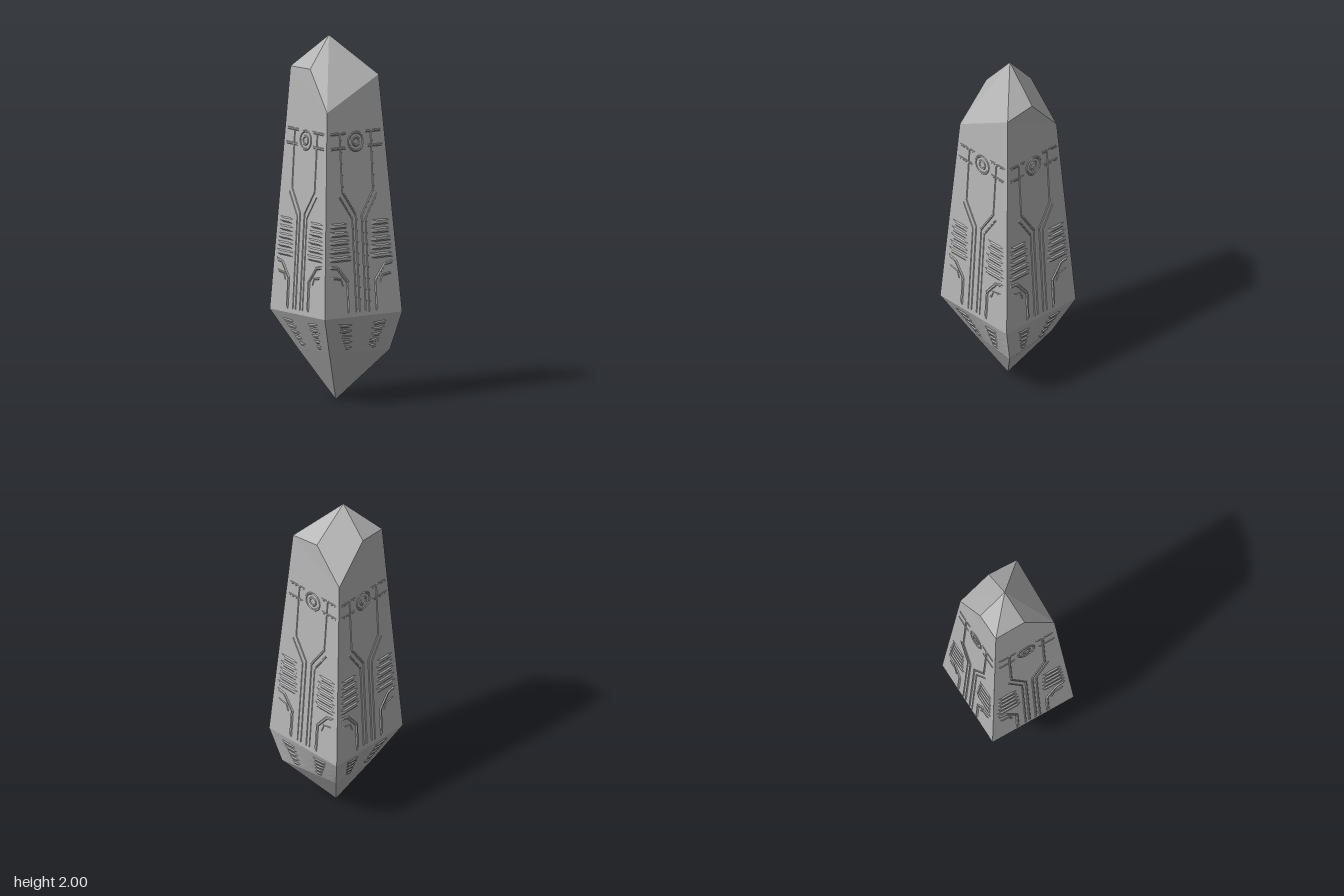
import * as THREE from 'three';

const V = (x, y, z) => new THREE.Vector3(x, y, z);

// Corners in order front-left, front-right, back-right, back-left as seen in plan
const girdle = [V(-0.263, 0.49, 0.25), V(0.25, 0.49, 0.27), V(0.26, 0.49, -0.255), V(-0.25, 0.49, -0.272)];
const shoulder = [V(-0.187, 1.825, 0.166), V(0.174, 1.61, 0.195), V(0.165, 1.79, -0.166), V(-0.19, 1.62, -0.185)];
const keel = [V(-0.155, 0.28, 0.146), V(0.145, 0.28, 0.157), V(0.2, 0.28, -0.217), V(-0.16, 0.28, -0.178)];
// Extra corner in the top edge of a side
const notch = [V(-0.005, 1.828, 0.172), null, V(-0.015, 1.815, -0.172), V(-0.187, 1.83, 0.01)];
const tip = V(-0.035, 2, 0.02);
const foot = V(0, 0, 0);

function meshFrom(triangles, material, name) {
  const geometry = new THREE.BufferGeometry().setFromPoints(triangles);
  geometry.computeVertexNormals();
  const mesh = new THREE.Mesh(geometry, material);
  mesh.name = name;
  return mesh;
}

function quad(out, a, b, c, d) {
  out.push(a, b, c, a, c, d);
}

// Surface stretched between two slanted edges; u runs across from the middle, y is height
function ruledFace(l0, l1, r0, r1) {
  const at = (a, b, y) => a.clone().lerp(b, (y - a.y) / (b.y - a.y));
  const left = y => at(l0, l1, y);
  const right = y => at(r0, r1, y);
  const span = (s, y) => left(y).lerp(right(y), s);
  const point = (u, y, lift = 0) => {
    const across = right(y).sub(left(y));
    const p = span(0.5 + u / across.length(), y);
    const rise = span(0.5, y + 0.05).sub(span(0.5, y - 0.05));
    return p.addScaledVector(across.cross(rise).normalize(), lift);
  };
  return { left, right, span, point };
}

function panel(out, face, y0, y1, rows, cols = 6) {
  for (let i = 0; i < rows; i++) {
    const a = y0 + (y1 - y0) * i / rows, b = y0 + (y1 - y0) * (i + 1) / rows;
    for (let j = 0; j < cols; j++) {
      const s = j / cols, t = (j + 1) / cols;
      quad(out, face.span(s, a), face.span(t, a), face.span(t, b), face.span(s, b));
    }
  }
}

// Shallow raised line following a path of [u, y] points on a face
function ridge(out, face, path, width, height, closed = false) {
  let pts = path.map(p => new THREE.Vector2(...p));
  if (!closed) {
    const n = pts.length;
    const step = (a, b) => a.clone().add(b.clone().sub(a).setLength(width));
    pts = [pts[0], step(pts[0], pts[1]), ...pts.slice(1, -1), step(pts[n - 1], pts[n - 2]), pts[n - 1]];
  }
  const n = pts.length;
  const sections = pts.map((p, i) => {
    const prev = closed ? pts[(i + n - 1) % n] : pts[Math.max(i - 1, 0)];
    const next = closed ? pts[(i + 1) % n] : pts[Math.min(i + 1, n - 1)];
    const d = next.clone().sub(prev).normalize();
    const h = !closed && (i === 0 || i === n - 1) ? 0 : height;
    return [[-1, 0], [-0.5, h], [0.5, h], [1, 0]].map(([k, lift]) =>
      face.point(p.x + d.y * k * width / 2, p.y - d.x * k * width / 2, lift));
  });
  for (let i = 0; i < (closed ? n : n - 1); i++) {
    const a = sections[i], b = sections[(i + 1) % n];
    for (let k = 0; k < 3; k++) quad(out, a[k], a[k + 1], b[k + 1], b[k]);
  }
}

function carveSide(out, face) {
  // Ring emblem
  for (const r of [0.022, 0.05]) {
    const ring = Array.from({ length: 28 }, (_, i) => {
      const a = i / 28 * Math.PI * 2;
      return [r * Math.cos(a), 1.44 + r * Math.sin(a)];
    });
    ridge(out, face, ring, 0.013, 0.004, true);
  }
  for (const m of [-1, 1]) {
    const line = (path, w, h) => {
      const p = path.map(([u, y]) => [u * m, y]);
      ridge(out, face, p, w, h);
    };
    // Forked channels
    line([[0.02, 0.51], [0.02, 1.04], [0.105, 1.17], [0.105, 1.5]], 0.013, 0.004);
    line([[0.045, 0.51], [0.045, 1.02], [0.13, 1.15]], 0.01, 0.003);
    // Bands beside the emblem
    line([[0.06, 1.49], [0.175, 1.49]], 0.014, 0.003);
    line([[0.07, 1.41], [0.18, 1.41]], 0.014, 0.003);
    // Stacked slats
    for (let i = 0; i < 5; i++) {
      const y = 0.81 + i * 0.045;
      line([[0.065 + i * 0.004, y], [0.215 - i * 0.004, y]], 0.03, 0.006);
    }
    // Bent conduits
    line([[0.215, 0.77], [0.16, 0.76], [0.095, 0.68], [0.095, 0.51]], 0.018, 0.006);
    line([[0.2, 0.71], [0.14, 0.7], [0.125, 0.66]], 0.012, 0.004);
  }
}

function carveBelt(out, face) {
  // Short stepped bars
  for (const m of [-1, 1]) {
    for (let i = 0; i < 5; i++) {
      const y = 0.305 + i * 0.033;
      ridge(out, face, [[m * (0.05 + i * 0.004), y], [m * (0.105 + i * 0.014), y + 0.006]], 0.02, 0.006);
    }
  }
}

export function createModel() {
  const group = new THREE.Group();
  group.name = 'crystalShard';
  const stone = new THREE.MeshStandardMaterial({ color: 0xb4b4b4 });
  stone.name = 'grey stone';

  const crown = [], shaft = [], base = [], relief = [], rim = [];
  for (let i = 0; i < 4; i++) {
    const j = (i + 1) % 4;
    const a = shoulder[i], b = shoulder[j], mid = notch[i];

    // Tall side up to its lower shoulder, then the slanted remainder
    const side = ruledFace(girdle[i], a, girdle[j], b);
    const low = Math.min(a.y, b.y);
    panel(shaft, side, 0.49, low, 12);
    const loop = a.y < b.y ? [a, side.right(low), b] : [b, a, side.left(low)];
    if (mid) loop.splice(a.y < b.y ? 3 : 1, 0, mid);
    for (let k = 1; k < loop.length - 1; k++) shaft.push(loop[0], loop[k], loop[k + 1]);
    carveSide(relief, side);

    // Sloping belt and bottom point
    const belt = ruledFace(keel[i], girdle[i], keel[j], girdle[j]);
    panel(base, belt, 0.28, 0.49, 4);
    base.push(foot, keel[j], keel[i]);
    carveBelt(relief, belt);

    rim.push(a);
    if (mid) rim.push(mid);
  }
  // Crown facets
  rim.forEach((p, i) => crown.push(p, rim[(i + 1) % rim.length], tip));

  group.add(
    meshFrom(crown, stone, 'crown'),
    meshFrom(shaft, stone, 'shaft'),
    meshFrom(base, stone, 'basePoint'),
    meshFrom(relief, stone, 'carvedRelief')
  );
  return group;
}
